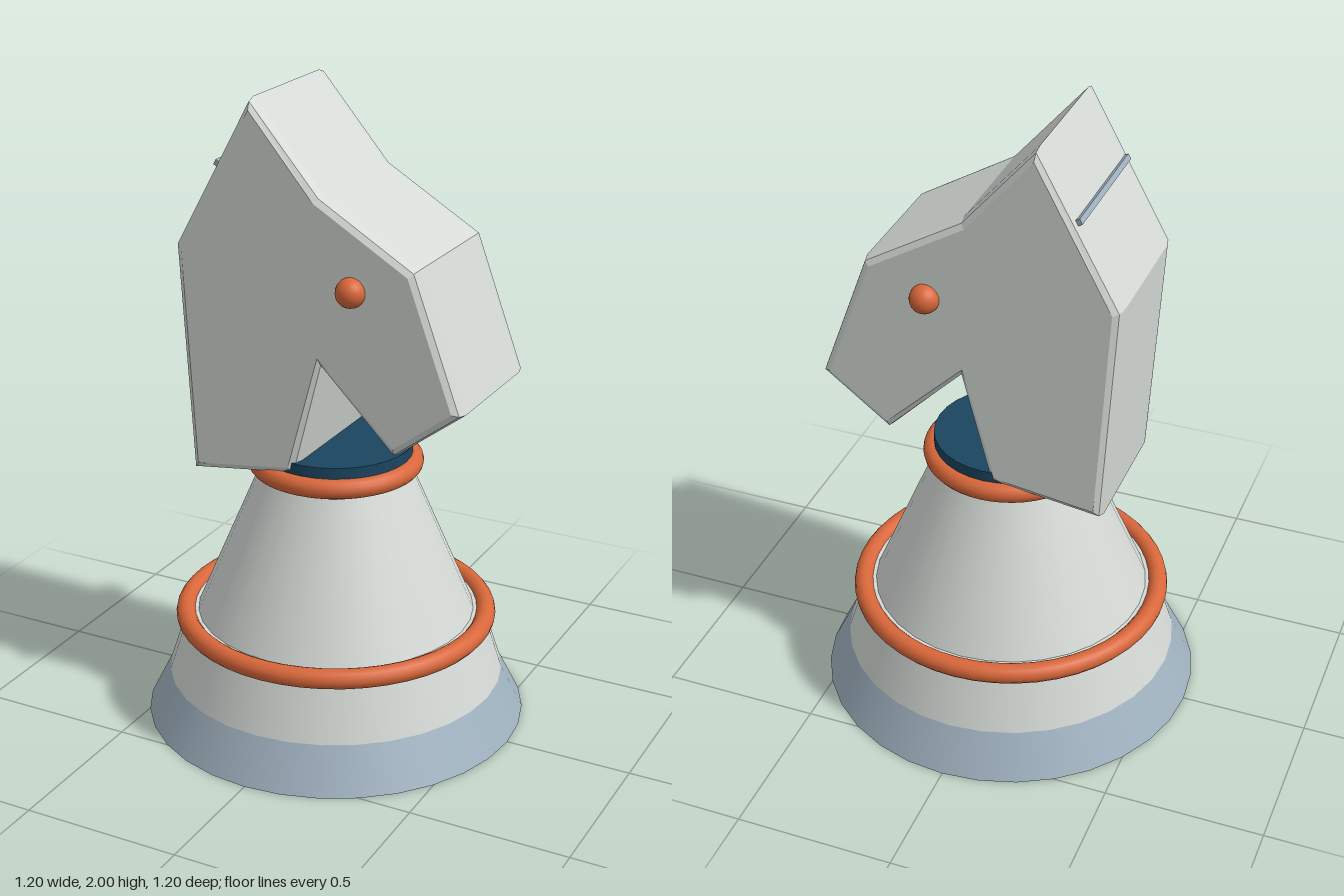
import * as THREE from 'three';

const mat = (name, color) => {
  const m = new THREE.MeshStandardMaterial({ color });
  m.name = name;
  return m;
};

export function createModel() {
  const group = new THREE.Group();
  const ivory = mat('pale grey', 0xd5dad6);
  const slate = mat('slate blue', 0x9fb1bf);
  const orange = mat('orange', 0xd9673a);
  const navy = mat('navy', 0x1b4560);

  const add = (name, geometry, material, x = 0, y = 0, z = 0) => {
    const mesh = new THREE.Mesh(geometry, material);
    mesh.name = name;
    mesh.position.set(x, y, z);
    group.add(mesh);
    return mesh;
  };

  // Round section between two heights
  const frustum = (name, rBottom, rTop, y0, y1, material) =>
    add(name, new THREE.CylinderGeometry(rTop, rBottom, y1 - y0, 32), material, 0, (y0 + y1) / 2, 0);

  // Pedestal
  frustum('foot', 0.6, 0.53, 0, 0.14, slate);
  frustum('lowerBody', 0.53, 0.465, 0.14, 0.345, ivory);
  frustum('upperBody', 0.44, 0.238, 0.335, 0.81, ivory);
  frustum('collar', 0.238, 0.238, 0.8, 0.91, navy);

  // Rings
  const ring = (name, radius, y) => {
    const geometry = new THREE.TorusGeometry(radius, 0.031, 14, 48);
    geometry.rotateX(Math.PI / 2);
    add(name, geometry, orange, 0, y, 0);
  };
  ring('lowerRing', 0.475, 0.334);
  ring('collarRing', 0.241, 0.845);

  // Horse head: bevelled side profile
  const profile = [
    [-0.16, 2.0], [-0.415, 1.54], [-0.372, 0.825], [-0.02, 0.872],
    [0.07, 1.225], [0.305, 0.988], [0.518, 1.15], [0.367, 1.56], [0.065, 1.74],
  ].map(([x, y]) => new THREE.Vector2(x, y));
  const bevel = 0.04;
  const headGeometry = new THREE.ExtrudeGeometry(new THREE.Shape(profile), {
    depth: 0.48 - 2 * bevel,
    bevelEnabled: true,
    bevelThickness: bevel,
    bevelSize: 0.024,
    bevelOffset: -0.024,
    bevelSegments: 2,
  });
  headGeometry.translate(0, 0, -0.24 + bevel);
  add('head', headGeometry, ivory);

  // Eyes on both sides
  for (const side of [1, -1]) {
    add(side > 0 ? 'frontEye' : 'backEye', new THREE.SphereGeometry(0.045, 20, 14), orange, 0.172, 1.477, side * 0.245);
  }

  // Thin strip across the mane, lying on the slanted back edge
  const strip = add('maneStrip', new THREE.BoxGeometry(0.03, 0.018, 0.425), slate, -0.272, 1.79, 0);
  strip.rotation.z = Math.atan2(-0.255, 0.46);

  return group;
}
